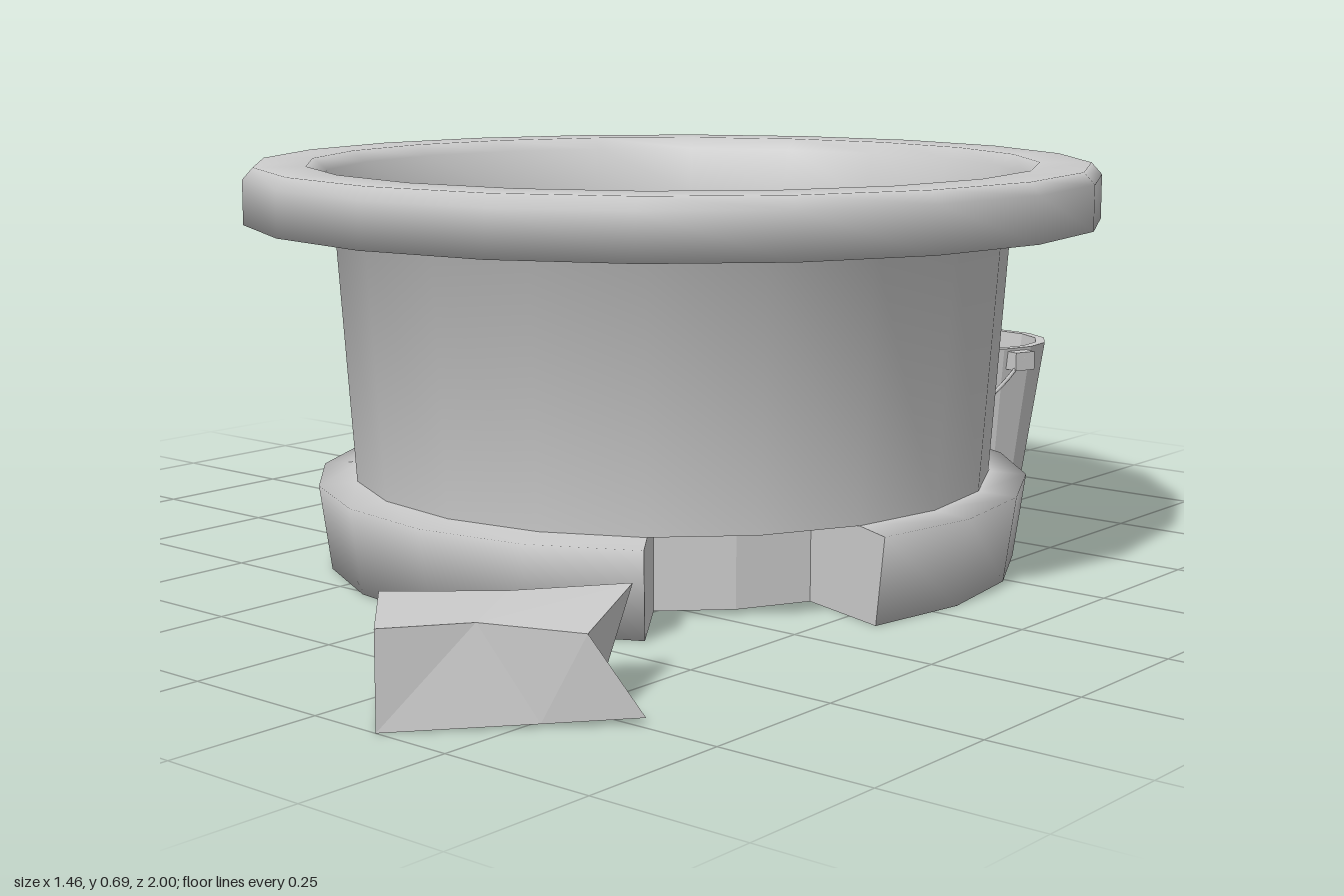
import * as THREE from 'three';

const V = (x, y, z) => new THREE.Vector3(x, y, z);
const rad = THREE.MathUtils.degToRad;
const smooth = new THREE.MeshStandardMaterial({ color: 0xcccccc, side: THREE.DoubleSide });
const flat = new THREE.MeshStandardMaterial({ color: 0xcccccc, side: THREE.DoubleSide, flatShading: true });

function add(parent, name, geometry, material) {
  const mesh = new THREE.Mesh(geometry, material);
  mesh.name = name;
  parent.add(mesh);
  return mesh;
}

// Turned surface; angles in degrees measured from +z towards +x
function lathe(profile, sides, start = 0, sweep = 360) {
  const points = profile.map(([r, y]) => new THREE.Vector2(r, y));
  return new THREE.LatheGeometry(points, sides, rad(start), rad(sweep));
}

// Solid from four-cornered cross-sections: inner bottom, outer bottom, outer top, inner top
function loft(sections) {
  const index = [0, 1, 2, 0, 2, 3];
  for (let s = 0; s < sections.length - 1; s++) {
    for (let k = 0; k < 4; k++) {
      const a = s * 4 + k, b = s * 4 + (k + 1) % 4;
      index.push(a, a + 4, b + 4, a, b + 4, b);
    }
  }
  const e = (sections.length - 1) * 4;
  index.push(e, e + 2, e + 1, e, e + 3, e + 2);
  const g = new THREE.BufferGeometry();
  g.setAttribute('position', new THREE.Float32BufferAttribute(sections.flat(2), 3));
  g.setIndex(index);
  const solid = g.toNonIndexed();
  solid.computeVertexNormals();
  return solid;
}

function createWell() {
  const well = new THREE.Group();
  well.name = 'well';
  const notchStart = 36, notchEnd = 72;

  // Wall, thick rim and hollow inside
  add(well, 'wallAndRim', lathe([
    [0.55, 0.15], [0.58, 0.59], [0.73, 0.59], [0.73, 0.665], [0.712, 0.685],
    [0.625, 0.685], [0.6, 0.665], [0.575, 0.58], [0.515, 0.17], [0, 0.17],
  ], 20), smooth);

  // Foot ring, with two of its twenty segments broken away
  add(well, 'base', lathe([[0, 0], [0.595, 0], [0.615, 0.145], [0.55, 0.15]],
    18, notchEnd, 360 - (notchEnd - notchStart)), smooth);
  add(well, 'notchBack', lathe([[0, 0], [0.42, 0], [0.42, 0.15], [0.55, 0.15]],
    2, notchStart, notchEnd - notchStart), flat);

  // Broken ends of the ring
  const end = new THREE.Shape([[0.42, 0], [0.595, 0], [0.615, 0.145], [0.55, 0.15], [0.42, 0.15]]
    .map(([x, y]) => new THREE.Vector2(x, y)));
  for (const angle of [notchStart, notchEnd]) {
    add(well, 'notchEnd', new THREE.ShapeGeometry(end), flat).rotation.y = rad(angle - 90);
  }
  well.position.z = -0.055;
  return well;
}

function createBucket() {
  const bucket = new THREE.Group();
  bucket.name = 'bucket';
  add(bucket, 'pail', lathe([
    [0, 0], [0.1, 0], [0.145, 0.295], [0.127, 0.295], [0.097, 0.015], [0, 0.015],
  ], 14), flat);

  // Ears at both ends of the handle
  for (const side of [-1, 1]) {
    add(bucket, 'ear', new THREE.BoxGeometry(0.03, 0.035, 0.045), flat).position.set(side * 0.15, 0.272, 0);
  }

  // Wire handle drooping to one side
  const arc = [];
  for (let i = 0; i <= 12; i++) {
    const a = Math.PI * i / 12;
    arc.push(V(0.162 * Math.cos(a), 0.28 - 0.16 * Math.sin(a), 0.142 * Math.sin(a)));
  }
  add(bucket, 'handle', new THREE.TubeGeometry(new THREE.CatmullRomCurve3(arc), 24, 0.004, 5), smooth);

  bucket.position.set(0.1, 0, -0.855);
  bucket.rotation.y = -0.33;
  return bucket;
}

export function createModel() {
  const model = new THREE.Group();
  model.name = 'wellWithBucket';
  model.add(createWell(), createBucket());

  // Fallen piece of the foot ring, with a slanted broken end
  add(model, 'brokenStone', loft([
    [[0.23, 0, 0.86], [0.37, 0, 1.0], [0.37, 0.143, 1.0], [0.23, 0.143, 0.86]],
    [[0.37, 0, 0.75], [0.52, 0.005, 0.84], [0.45, 0.143, 0.89], [0.37, 0.145, 0.745]],
    [[0.48, 0, 0.68], [0.62, 0.01, 0.74], [0.565, 0.128, 0.795], [0.48, 0.147, 0.605]],
  ]), flat);
  return model;
}
